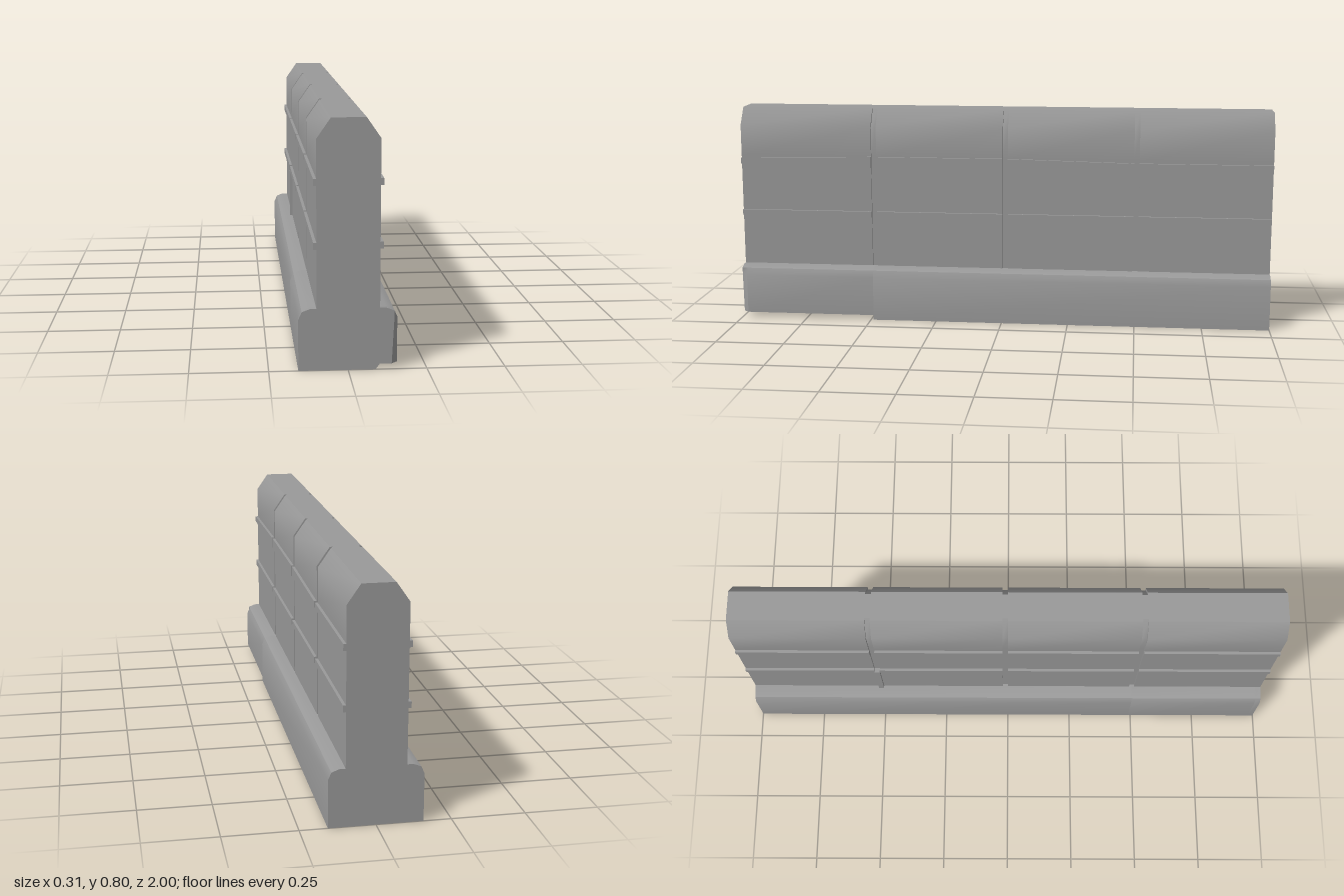
import * as THREE from 'three';
import { toCreasedNormals } from 'three/addons/utils/BufferGeometryUtils.js';

const concrete = new THREE.MeshStandardMaterial({ color: 0x999999 });
concrete.name = 'concreteGrey';

// Extrudes an xy outline between two z positions; reshape may move its vertices.
function slab(name, points, z0, z1, reshape) {
  const shape = new THREE.Shape(points.map(([x, y]) => new THREE.Vector2(x, y)));
  let geo = new THREE.ExtrudeGeometry(shape, { depth: z1 - z0, bevelEnabled: false });
  geo.translate(0, 0, z0);
  if (reshape) {
    const p = geo.attributes.position;
    const v = new THREE.Vector3();
    for (let i = 0; i < p.count; i++) {
      v.fromBufferAttribute(p, i);
      reshape(v);
      p.setXYZ(i, v.x, v.y, v.z);
    }
  }
  geo = toCreasedNormals(geo, THREE.MathUtils.degToRad(38));
  const mesh = new THREE.Mesh(geo, concrete);
  mesh.name = name;
  return mesh;
}

// Closes a right-hand half outline, listed bottom to top, with its mirror image.
const mirrored = (half) => [...half, ...half.map(([x, y]) => [-x, y]).reverse()];

export function createModel() {
  const group = new THREE.Group();
  group.name = 'concreteBarrier';

  // Upright wall: four panels parted by narrow, shallow joints
  const wall = mirrored([[0.1, 0.2], [0.1, 0.62], [0.1, 0.735], [0.055, 0.8]]);
  const recess = mirrored([[0.092, 0.2], [0.092, 0.62], [0.092, 0.73], [0.046, 0.8]]);
  const joints = [-0.5, -0.01, 0.49];
  const halfJoint = 0.01;
  const stops = [-1, ...joints, 1];
  const panels = [];
  for (let i = 0; i < 4; i++) {
    const z0 = stops[i] + (i > 0 ? halfJoint : 0);
    const z1 = stops[i + 1] - (i < 3 ? halfJoint : 0);
    panels.push([z0, z1]);
    group.add(slab('wallPanel', wall, z0, z1));
    if (i < 3) group.add(slab('wallJoint', recess, z1, z1 + 2 * halfJoint));
  }

  // Raised horizontal strips; the upper left ones widen toward the middle
  const spread = [[0.011, 0.011], [0.011, 0.021], [0.021, 0.021], [0.021, 0.011]];
  panels.forEach(([z0, z1], i) => {
    for (const side of [-1, 1]) {
      for (const y of [0.4, 0.6]) {
        const [h0, h1] = side > 0 && y > 0.5 ? spread[i] : [0.011, 0.011];
        const xs = [side * 0.095, side * 0.11];
        const x0 = Math.min(...xs), x1 = Math.max(...xs);
        const outline = [[x0, y - 1], [x1, y - 1], [x1, y + 1], [x0, y + 1]];
        group.add(slab('horizontalStrip', outline, z0, z1, (v) => {
          const t = (v.z - z0) / (z1 - z0);
          v.y = y + Math.sign(v.y - y) * THREE.MathUtils.lerp(h0, h1, t);
        }));
      }
    }
  });

  // One raised vertical strip on the right side, at the rear joint
  group.add(slab('verticalStrip',
    [[-0.11, 0.2], [-0.09, 0.2], [-0.09, 0.39], [-0.11, 0.39]], -0.51, -0.49));

  // Wide foot with rounded shoulders
  const shoulder = [[0.157, 0.165], [0.146, 0.19], [0.12, 0.2]];
  const left = shoulder.map(([x, y]) => [-x, y]).reverse();
  const foot = [[-0.157, 0], [0.157, 0], ...shoulder, ...left];
  const wornFoot = [[-0.157, 0], [0.087, 0], [0.1, 0.018], [0.157, 0.018], ...shoulder, ...left];
  group.add(slab('foot', foot, -1, 0.49));

  // Worn lower edge, and a chipped corner at the front end
  group.add(slab('wornFoot', wornFoot, 0.49, 0.98));
  group.add(slab('chippedCorner', wornFoot, 0.98, 1, (v) => {
    if (v.z > 0.99 && v.x > 0.13) v.x = Math.min(v.x, 0.137 + 0.05 * v.y);
  }));

  return group;
}
